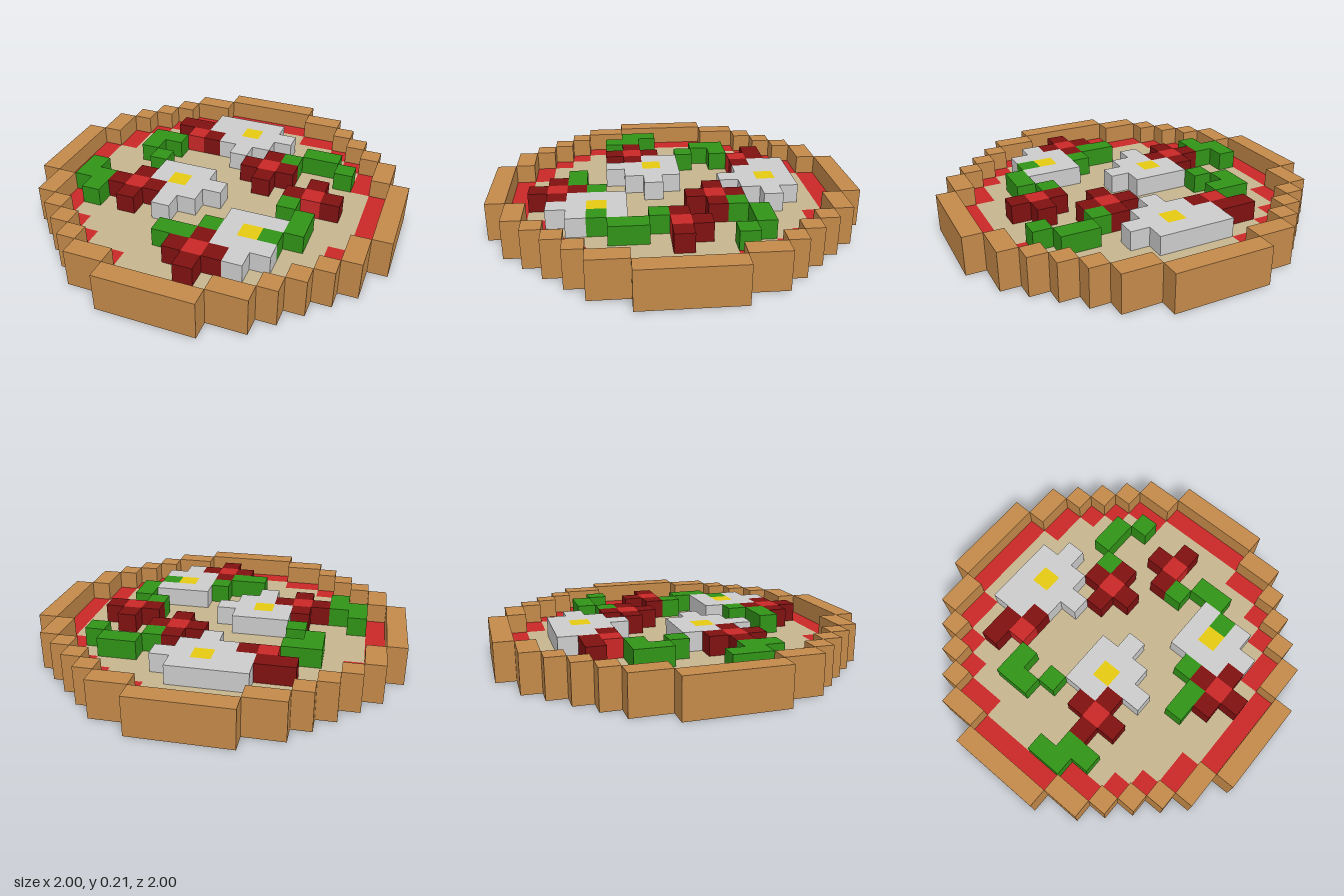
import * as THREE from 'three';
import { mergeGeometries } from 'three/addons/utils/BufferGeometryUtils.js';

// Plan of the pizza, one letter per block, back row first.
// c crust, s sauce, o cheese, w egg white, y yolk, d pepper edge, r pepper centre, g herb
const PLAN = [
  '.......ccccc.......',
  '.....ccssssscc.....',
  '....cssooooossc....',
  '...csoowwwwooosc...',
  '..csoddwwywwooosc..',
  '.csooordwwwooggosc.',
  '.csoggooowodgoogsc.',
  'csoogooooodrdoooosc',
  'csooogooooodoodoosc',
  'csoooowwwoooodrdosc',
  'csgoodwywwooogooosc',
  'csggdrdwwooooogoosc',
  '.csgodowooowwwgosc.',
  '.csooooooogwygoosc.',
  '..csooooggdwwwosc..',
  '...csoooodrdwosc...',
  '....cssooodossc....',
  '.....ccssssscc.....',
  '.......ccccc.......',
];
const N = PLAN.length;
const S = 2 / N; // block size

const PARTS = {
  c: ['crust', 0xc38949],
  s: ['sauce', 0xca2727],
  o: ['cheese', 0xc6b68e],
  w: ['eggWhites', 0xcccccc],
  y: ['eggYolks', 0xe5ca12],
  d: ['tomatoEdges', 0x801111],
  r: ['tomatoCentres', 0xca2727],
  g: ['herbs', 0x309317],
};

// Block kind at a cell: the base is crust, sauce and cheese; the rim and toppings rise one block more
function blockAt(i, j, k) {
  const kind = PLAN[k]?.[i] ?? '.';
  if (kind === '.' || j < 0 || j > 1) return null;
  if (j === 0) return 'cs'.includes(kind) ? kind : 'o';
  return 'so'.includes(kind) ? null : kind;
}

// Outward direction of each face with the turn that aims a plane that way
const FACES = [
  [1, 0, 0, 0, Math.PI / 2],
  [-1, 0, 0, 0, -Math.PI / 2],
  [0, 1, 0, -Math.PI / 2, 0],
  [0, -1, 0, Math.PI / 2, 0],
  [0, 0, 1, 0, 0],
  [0, 0, -1, 0, Math.PI],
];

// Outer skin of all blocks of one kind
function blockSkin(kind) {
  const faces = [];
  for (let k = 0; k < N; k++) for (let i = 0; i < N; i++) for (let j = 0; j < 2; j++) {
    if (blockAt(i, j, k) !== kind) continue;
    for (const [dx, dy, dz, rx, ry] of FACES) {
      if (blockAt(i + dx, j + dy, k + dz)) continue;
      faces.push(new THREE.PlaneGeometry(S, S).rotateX(rx).rotateY(ry).translate(
        (i + 0.5 + dx / 2) * S - 1,
        (j + 0.5 + dy / 2) * S,
        (k + 0.5 + dz / 2) * S - 1,
      ));
    }
  }
  return mergeGeometries(faces);
}

export function createModel() {
  const pizza = new THREE.Group();
  pizza.name = 'pizza';
  for (const [kind, [name, color]] of Object.entries(PARTS)) {
    const mesh = new THREE.Mesh(blockSkin(kind), new THREE.MeshStandardMaterial({ color }));
    mesh.name = name;
    pizza.add(mesh);
  }
  return pizza;
}
